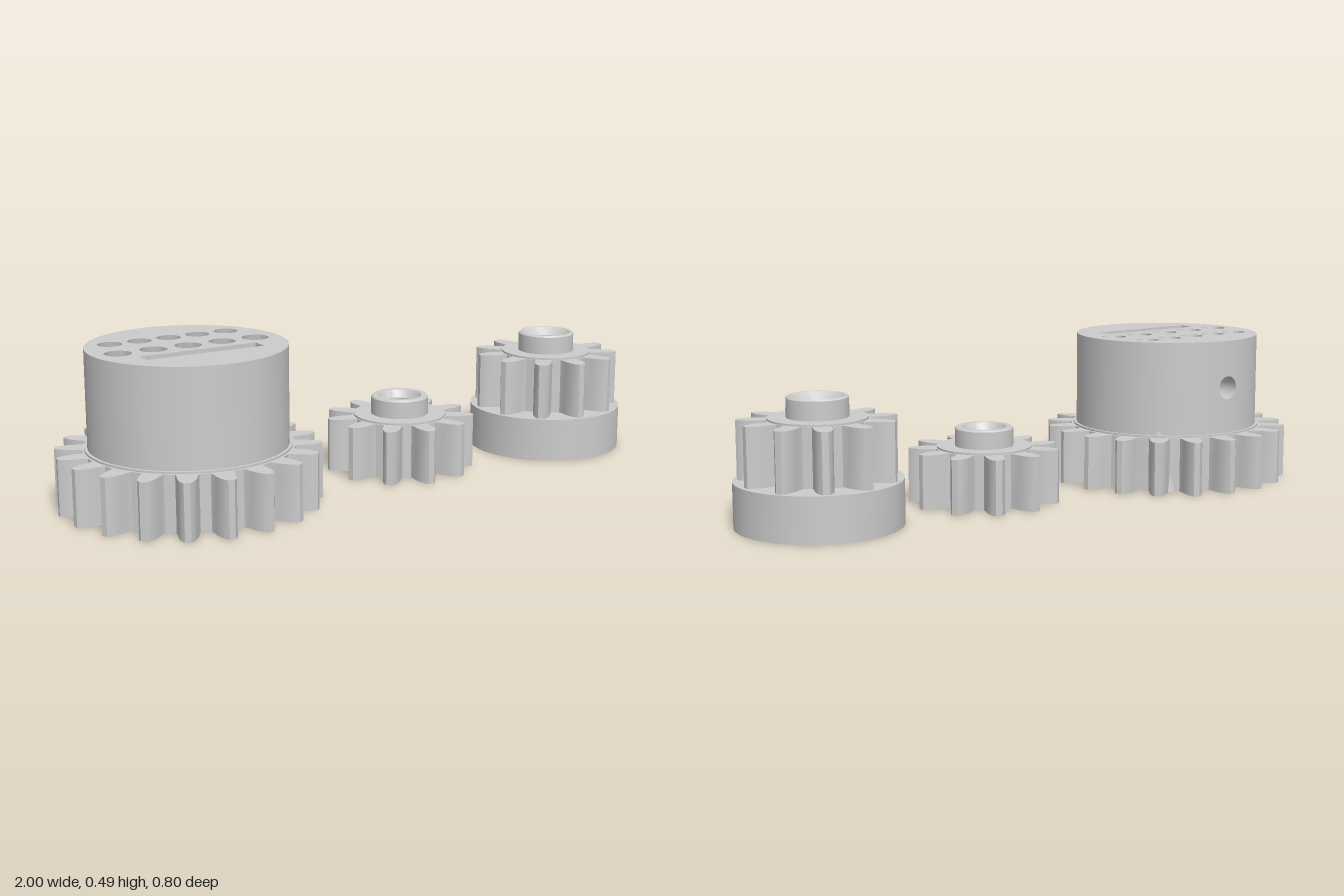
import * as THREE from 'three';
import { mergeGeometries, toCreasedNormals } from 'three/addons/utils/BufferGeometryUtils.js';
import { ParametricGeometry } from 'three/addons/geometries/ParametricGeometry.js';

const material = new THREE.MeshStandardMaterial({ color: 0xcccccc, side: THREE.DoubleSide });

// Outlines are drawn in plan: x to the right, y towards the back (-z).
function polar(count, radiusAt, cx = 0, cy = 0) {
  return Array.from({ length: count }, (_, i) => {
    const a = (i / count) * Math.PI * 2, r = radiusAt(i);
    return new THREE.Vector2(cx + r * Math.cos(a), cy + r * Math.sin(a));
  });
}
const circle = (r, cx, cy, n = 28) => polar(n, () => r, cx, cy);

// Toothed outline: each tooth narrows along a curved flank to a rounded tip.
function gearOutline(teeth, root, tip, phase) {
  const flank = [[0.34, 0], [0.29, 0.15], [0.26, 0.4], [0.21, 0.65], [0.14, 0.88], [0.07, 1]];
  const tooth = [...flank.map(([w, h]) => [-w, h]), ...flank.map(([w, h]) => [w, h]).reverse()];
  const pts = [];
  for (let i = 0; i < teeth; i++) {
    for (const [w, h] of tooth) {
      const a = ((i + phase + w) / teeth) * Math.PI * 2, r = root + (tip - root) * h;
      pts.push(new THREE.Vector2(r * Math.cos(a), r * Math.sin(a)));
    }
  }
  return pts;
}

// Wall between an outline at y0 and its counterpart at y1.
function loft(lower, y0, upper, y1) {
  const pos = [];
  const put = (p, y) => pos.push(p.x, y, -p.y);
  lower.forEach((p, i) => {
    const j = (i + 1) % lower.length;
    put(p, y0); put(lower[j], y0); put(upper[j], y1);
    put(p, y0); put(upper[j], y1); put(upper[i], y1);
  });
  return new THREE.BufferGeometry().setAttribute('position', new THREE.Float32BufferAttribute(pos, 3));
}

function cap(outline, holes, y, faceUp) {
  const shape = new THREE.Shape(outline);
  shape.holes = holes.map((h) => new THREE.Path(h));
  let geo = new THREE.ShapeGeometry(shape);
  if (!faceUp) geo.setIndex(Array.from(geo.index.array).reverse());
  geo = geo.toNonIndexed().rotateX(-Math.PI / 2).translate(0, y, 0);
  geo.deleteAttribute('uv');
  geo.deleteAttribute('normal');
  return geo;
}

// Solid with holes; every hole is a function giving its outline at a height.
function prism(outline, holes, y0, y1, outerWall = true) {
  const low = holes.map((h) => h(y0)), high = holes.map((h) => h(y1));
  const parts = [cap(outline, low, y0, false), cap(outline, high, y1, true)];
  if (outerWall) parts.push(loft(outline, y0, outline, y1));
  low.forEach((h, i) => parts.push(loft([...h].reverse(), y0, [...high[i]].reverse(), y1)));
  return toCreasedNormals(mergeGeometries(parts), 0.5);
}

function lathe(points) {
  const geo = new THREE.LatheGeometry(points.map(([r, y]) => new THREE.Vector2(r, y)), 48);
  return toCreasedNormals(geo, 0.4);
}

function add(group, name, geometry) {
  const mesh = new THREE.Mesh(geometry, material);
  mesh.name = name;
  group.add(mesh);
  return mesh;
}

function makeGroup(name, x, z) {
  const group = new THREE.Group();
  group.name = name;
  group.position.set(x, 0, z);
  return group;
}

// Large gear with a drilled hub
function driveGear() {
  const group = makeGroup('largeGear', -0.6, 0);
  const base = 0.175, top = 0.485, hubR = 0.305;
  const holes = [];
  // Two rows of slanted holes, leaning towards the back as they go down
  for (const [z, pitch, r] of [[-0.125, 0.097, 0.037], [0.01, 0.113, 0.041]]) {
    for (let i = -2; i <= 2; i++) {
      holes.push((y) => circle(r, i * pitch, -z + 0.1 * (1 - y / top)));
    }
  }
  // Straight slot near the front
  holes.push(() => [[-0.19, -0.135], [0.19, -0.135], [0.19, -0.08], [-0.19, -0.08]]
    .map(([x, y]) => new THREE.Vector2(x, y)));

  add(group, 'largeTeeth', prism(gearOutline(20, 0.322, 0.405, 0.5), holes, 0, base));
  add(group, 'hubCore', prism(circle(hubR, 0, 0, 72), holes, base, top, false));
  add(group, 'hubStep', lathe([[0.315, base], [0.315, base + 0.006], [hubR, base + 0.006]]));

  // Hub wall, with a curved panel that holds the round side hole
  const gap = 0.2, midY = (base + top) / 2, half = (top - base) / 2, holeR = 0.038;
  add(group, 'hubWall', new THREE.CylinderGeometry(hubR, hubR, top - base, 64, 1, true,
    Math.PI + gap, Math.PI * 2 - gap * 2)).position.y = midY;
  const panel = new ParametricGeometry((u, v, target) => {
    const c = Math.cos(u * Math.PI * 2), s = Math.sin(u * Math.PI * 2);
    const m = Math.max(Math.abs(c), Math.abs(s));
    const a = Math.PI + THREE.MathUtils.lerp((holeR * c) / hubR, (gap * c) / m, v);
    const y = midY + THREE.MathUtils.lerp(holeR * s, (half * s) / m, v);
    target.set(hubR * Math.sin(a), y, hubR * Math.cos(a));
  }, 32, 4);
  add(group, 'hubHolePanel', panel);
  const bore = new THREE.CylinderGeometry(holeR, holeR, 0.17, 32, 1, true).rotateX(Math.PI / 2);
  add(group, 'sideBore', bore).position.set(0, midY, -0.218);
  return group;
}

// Collar with a thin washer step and a chamfered mouth
function collar(y, height, mouth, bore) {
  const t = y + height;
  return lathe([[0.15, y], [0.15, y + 0.006], [0.093, y + 0.006], [0.093, t - 0.005],
    [0.088, t], [mouth, t], [bore, t - 0.025], [bore, y]]);
}

// Small gear with a plain bore
function idlerGear() {
  const group = makeGroup('smallGear', 0.157, 0.01);
  const bore = 0.056;
  add(group, 'smallTeeth', prism(gearOutline(11, 0.155, 0.24, 0), [() => circle(bore, 0, 0, 48)], 0, 0.172));
  add(group, 'smallCollar', collar(0.172, 0.066, 0.07, bore));
  return group;
}

// Small gear on a round disc with a splined socket underneath
function discGear() {
  const group = makeGroup('discGear', 0.745, 0.026);
  const bore = 0.056;
  const spline = polar(80, (i) => (i % 4 < 2 ? 0.075 : 0.066));
  add(group, 'disc', prism(circle(0.254, 0, 0, 64), [() => spline], 0, 0.14));
  add(group, 'discTeeth', prism(gearOutline(11, 0.155, 0.24, 0), [() => circle(bore, 0, 0, 48)], 0.14, 0.32));
  add(group, 'discCollar', collar(0.32, 0.069, 0.082, bore));
  return group;
}

export function createModel() {
  const model = new THREE.Group();
  model.name = 'gearSet';
  model.add(driveGear(), idlerGear(), discGear());
  return model;
}
